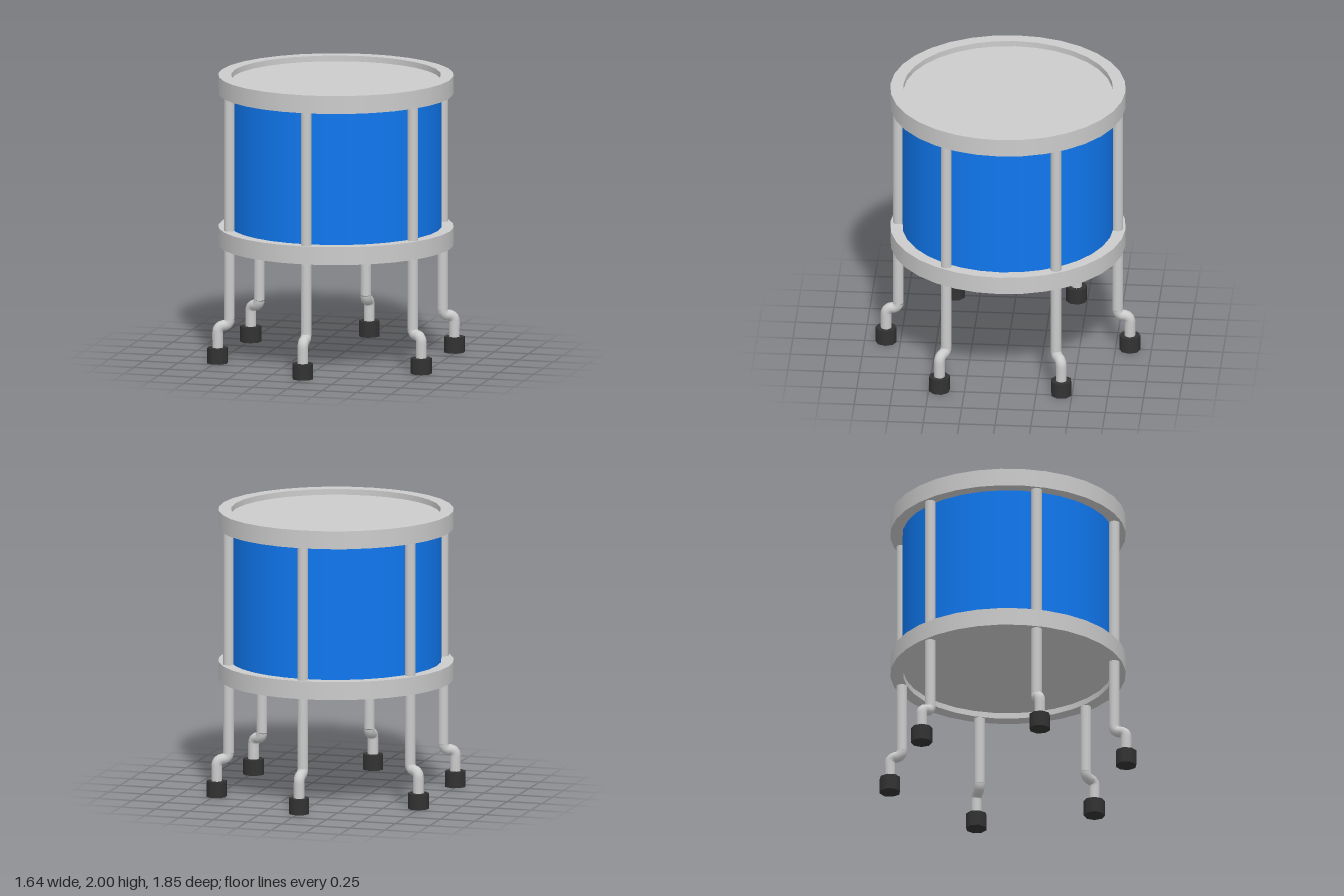
import * as THREE from 'three';

const SIDES = 32;

export function createModel() {
  const model = new THREE.Group();
  model.name = 'floorDrum';
  const grey = new THREE.MeshStandardMaterial({ color: 0xcccccc });
  const blue = new THREE.MeshStandardMaterial({ color: 0x1078f0 });
  const black = new THREE.MeshStandardMaterial({ color: 0x333333 });

  const add = (parent, name, geometry, material, x = 0, y = 0, z = 0) => {
    const mesh = new THREE.Mesh(geometry, material);
    mesh.name = name;
    mesh.position.set(x, y, z);
    parent.add(mesh);
    return mesh;
  };

  // Open cylinder shell between the hoops
  add(model, 'shell', new THREE.CylinderGeometry(0.735, 0.735, 1.08, SIDES, 1, true), blue, 0, 1.403, 0);

  // Hoop: rectangular section, corner points doubled for sharp edges
  const inner = 0.73, outer = 0.82, height = 0.127;
  const corners = [[inner, 0], [outer, 0], [outer, height], [inner, height]];
  const section = corners.flatMap((c, i) => [c, corners[(i + 1) % 4]]).map(([r, y]) => new THREE.Vector2(r, y));
  const hoop = new THREE.LatheGeometry(section, SIDES);
  add(model, 'bottomHoop', hoop, grey, 0, 0.804, 0);
  add(model, 'topHoop', hoop, grey, 0, 1.873, 0);

  // Drum heads, recessed inside the hoops
  const head = new THREE.CircleGeometry(0.732, SIDES);
  add(model, 'topHead', head, grey, 0, 1.96, 0).rotation.x = -Math.PI / 2;
  add(model, 'bottomHead', head, grey, 0, 0.845, 0).rotation.x = Math.PI / 2;

  // Leg centre line: rod radius, foot radius and the two quarter bends between
  const legR = 0.765, footR = 0.85, bend = (footR - legR) / 2, bendY = 0.263;
  const path = [];
  for (let i = 0; i <= 6; i++) {
    const a = (i / 6) * Math.PI / 2;
    path.push(new THREE.Vector3(0, bendY + bend - bend * Math.sin(a), legR + bend - bend * Math.cos(a)));
  }
  for (let i = 1; i <= 6; i++) {
    const a = (i / 6) * Math.PI / 2;
    path.push(new THREE.Vector3(0, bendY - bend + bend * Math.cos(a), legR + bend + bend * Math.sin(a)));
  }
  path.push(new THREE.Vector3(0, 0.16, footR), new THREE.Vector3(0, 0.1, footR));
  const rodTop = 1.9, rodBottom = bendY + bend;
  const rod = new THREE.CylinderGeometry(0.038, 0.038, rodTop - rodBottom, 12, 1, true);
  const elbow = new THREE.TubeGeometry(new THREE.CatmullRomCurve3(path), 24, 0.038, 12);
  const foot = new THREE.CylinderGeometry(0.074, 0.074, 0.11, 8);

  // Six legs around the drum
  for (let i = 0; i < 6; i++) {
    const leg = new THREE.Group();
    leg.name = 'leg' + (i + 1);
    leg.rotation.y = (i * Math.PI) / 3;
    add(leg, 'rod', rod, grey, 0, (rodTop + rodBottom) / 2, legR);
    add(leg, 'elbow', elbow, grey);
    add(leg, 'rubberFoot', foot, black, 0, 0.055, footR);
    model.add(leg);
  }
  return model;
}
